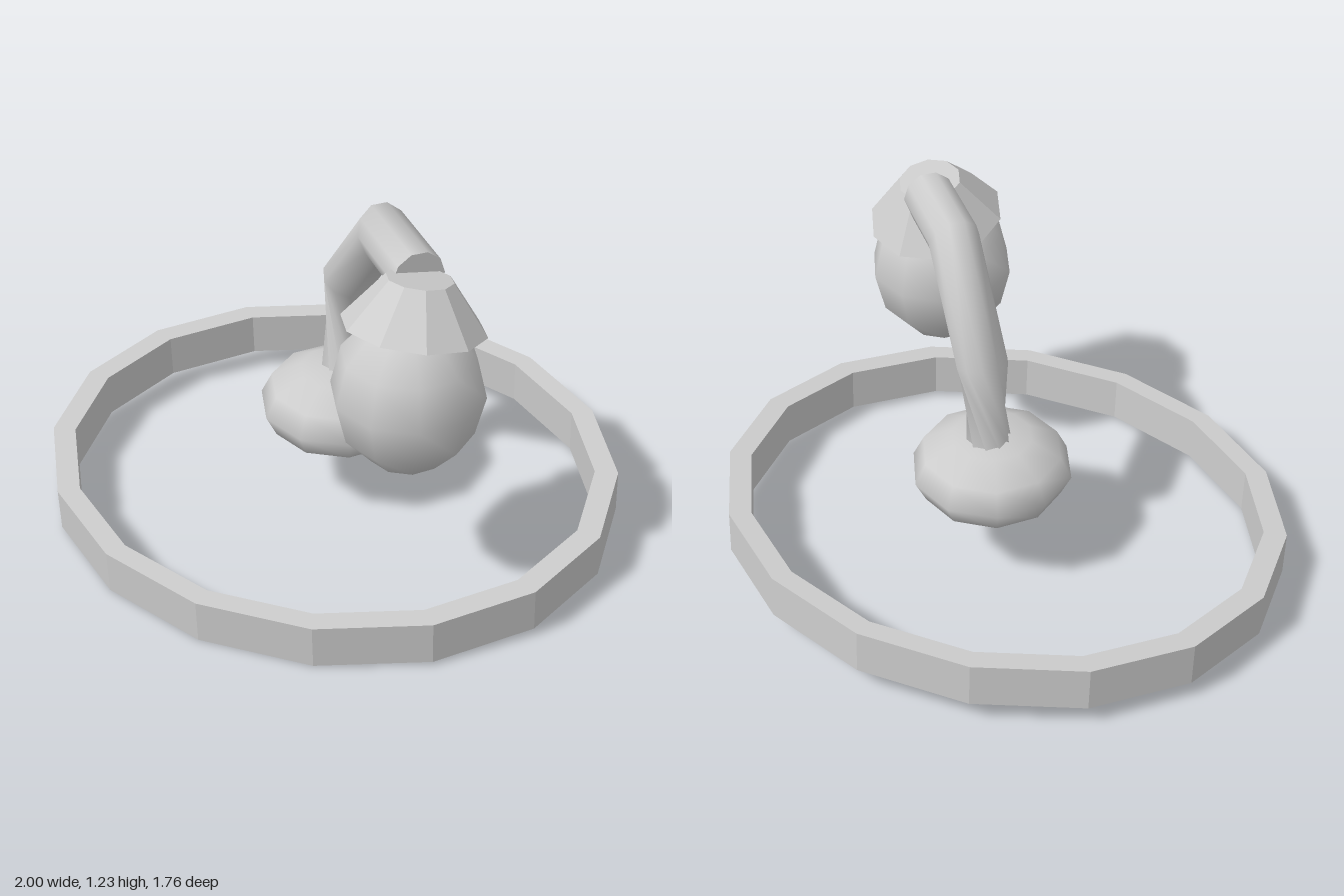
import * as THREE from 'three';

const grey = new THREE.MeshStandardMaterial({ color: 0xcccccc });
grey.name = 'plain grey';

function part(name, geometry, x, y, z) {
  const mesh = new THREE.Mesh(geometry, grey);
  mesh.name = name;
  mesh.position.set(x, y, z);
  return mesh;
}

// Faceted normals for the hard-edged parts
function faceted(geometry) {
  const g = geometry.toNonIndexed();
  g.computeVertexNormals();
  return g;
}

// Ten-sided smooth ellipsoid with corners on +z and -z
function ellipsoid(r, ry) {
  return new THREE.SphereGeometry(r, 10, 6).rotateY(Math.PI / 2).scale(1, ry / r, 1);
}

// Bent tube in a vertical plane: mitred rings, the lowest one twisted
function armGeometry() {
  const sides = 10;
  const d = new THREE.Vector3(0.77, 0, 0.64).normalize();
  const up = new THREE.Vector3(0, 1, 0);
  const s = d.clone().cross(up);
  const deg = Math.PI / 180;
  // centre, radius, tangent elevation, mitre stretch, twist
  const rings = [
    { c: [0, 0.45, -0.08], r: 0.082, e: 90, m: 1, twist: 110 },
    { c: [0, 0.83, -0.12], r: 0.086, e: 70, m: 1.08, twist: 0 },
    { c: [0.215, 1.145, 0.05], r: 0.086, e: 24, m: 1.09, twist: 0 },
    { c: [0.435, 1.14, 0.235], r: 0.086, e: 0, m: 1, twist: 0 },
  ];
  const pos = [], idx = [];
  const addRing = ({ c, r, e, m, twist }) => {
    const v = d.clone().multiplyScalar(Math.sin(e * deg)).addScaledVector(up, -Math.cos(e * deg));
    for (let j = 0; j < sides; j++) {
      const a = (j / sides) * Math.PI * 2 + twist * deg;
      const p = new THREE.Vector3(...c)
        .addScaledVector(s, r * Math.cos(a))
        .addScaledVector(v, r * m * Math.sin(a));
      pos.push(p.x, p.y, p.z);
    }
  };
  rings.forEach(addRing);
  for (let i = 0; i < rings.length - 1; i++) {
    for (let j = 0; j < sides; j++) {
      const k = (j + 1) % sides, a = i * sides, b = a + sides;
      idx.push(a + j, a + k, b + k, a + j, b + k, b + j);
    }
  }
  // Flat end cap with its own corners
  const start = pos.length / 3;
  addRing(rings[3]);
  for (let j = 1; j < sides - 1; j++) idx.push(start, start + j, start + j + 1);

  const g = new THREE.BufferGeometry();
  g.setAttribute('position', new THREE.Float32BufferAttribute(pos, 3));
  g.setIndex(idx);
  g.computeVertexNormals();
  return g;
}

export function createModel() {
  const model = new THREE.Group();
  model.name = 'figure with ring';

  // Tilted oval band
  const h = 0.0775;
  const profile = [[1, -h], [1, h], [0.92, h], [0.92, -h], [1, -h]]
    .map(([x, y]) => new THREE.Vector2(x, y));
  const ring = part('ring', faceted(new THREE.LatheGeometry(profile, 16)), 0, 0.122, 0);
  ring.scale.z = 0.875;
  ring.rotation.x = 0.05;
  model.add(ring);

  // Body, bent neck and head
  model.add(part('base', ellipsoid(0.275, 0.15), 0, 0.37, -0.065));
  model.add(part('neck', armGeometry(), 0, 0, 0));
  model.add(part('head', ellipsoid(0.244, 0.272), 0.46, 0.8, 0.34));

  // Tilted cap
  const hat = part('hat', faceted(new THREE.CylinderGeometry(0.105, 0.228, 0.155, 10)), 0.46, 1.091, 0.295);
  hat.rotation.x = -0.21;
  model.add(hat);

  return model;
}
